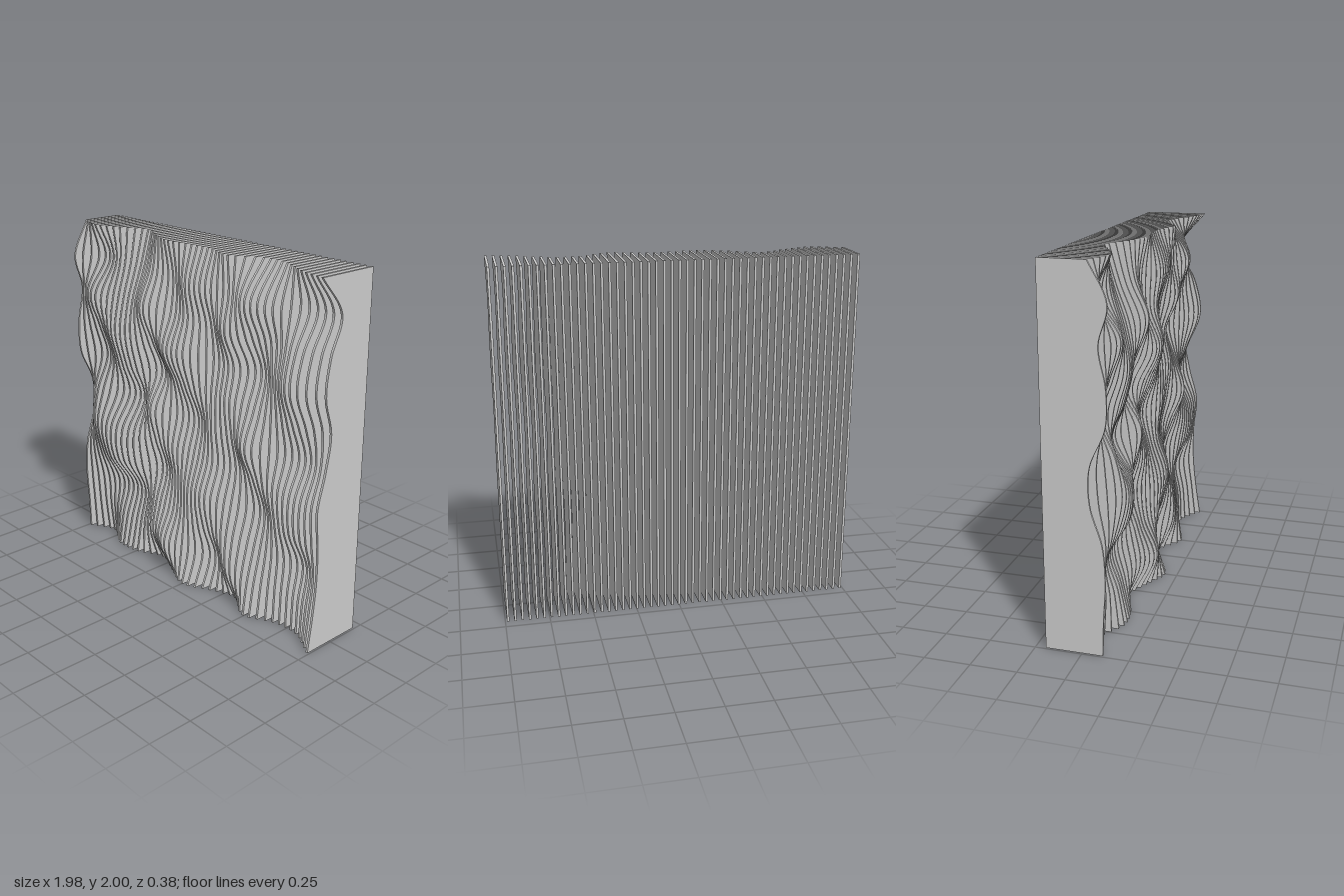
import * as THREE from 'three';

const FINS = 49, THICK = 0.013, HALF = 0.984, BACK = -0.195, STEPS = 80;

// Front depth of the wavy relief in hundredths: one row per position
// from x = -HALF to x = HALF, each read from y = 0 up to y = 2.
const RELIEF = [
  [11, 11.5, 12.5, 11, 5, 5, 13, 13.5, 10, 14.5, 5],
  [4, 6, 7, 13, 16.5, 13, 5, 10.5, 16, 4, 11],
  [12.5, 9, 4, 15, 16.5, 6, 9.5, 14.5, 12, 6, 5.5],
  [11.5, 8, 4, 11.5, 12, 3, 9, 13, 11, 4, -2],
  [4.5, 12, 9, 3.5, 9, 12.5, 3, 10, 16.5, 9, 6],
  [11, 17.5, 10, 8, 10, 6, 8.5, 16.5, 10, 8, 11.5],
  [18, 13, 13, 13, 8, 4, 11, 16, 12, 14, 9],
  [11, 6, 12, 15, 9, 10, 10, 8, 10, 14.5, 9],
  [6, 14, 14, 10, 6.5, 10, 12, 9, 16, 13, 14],
  [16, 13, 8, 3.5, 9.5, 16.5, 10, 4.5, 12, 18, 4.5],
  [9, 8, 6.5, 9.5, 12, 8.5, 10, 12, 11, 14.5, 5],
  [8, 7, 4, 12, 12.5, 5, 11, 18.5, 15, 6, 13],
  [17, 14, 12, 12, 13.5, 8.5, 5.5, 10.5, 8, 1.5, 16.5],
];

// Smooth curve through evenly spaced values, t from 0 to 1
function spline(values, t) {
  const last = values.length - 1;
  const i = Math.min(Math.floor(t * last), last - 1);
  const f = t * last - i;
  const b = values[i], c = values[i + 1];
  const a = i > 0 ? values[i - 1] : 2 * b - c;
  const d = i + 2 <= last ? values[i + 2] : 2 * c - b;
  return b + 0.5 * f * (c - a + f * (2 * a - 5 * b + 4 * c - d + f * (3 * (b - c) + d - a)));
}

function reliefDepth(u, v) {
  return spline(RELIEF.map((column) => spline(column, v)), u) / 100;
}

// Upright slat: straight back, wavy front edge
function finGeometry(u) {
  const shape = new THREE.Shape();
  shape.moveTo(BACK, 0);
  for (let k = 0; k <= STEPS; k++) shape.lineTo(reliefDepth(u, k / STEPS), (2 * k) / STEPS);
  shape.lineTo(BACK, 2);
  shape.closePath();
  const geometry = new THREE.ExtrudeGeometry(shape, { depth: THICK, bevelEnabled: false });
  geometry.translate(0, 0, -THICK / 2);
  geometry.rotateY(-Math.PI / 2);
  return geometry;
}

export function createModel() {
  const group = new THREE.Group();
  group.name = 'wavyFinPanel';
  const material = new THREE.MeshStandardMaterial({ color: 0xcccccc });
  for (let i = 0; i < FINS; i++) {
    const u = i / (FINS - 1);
    const fin = new THREE.Mesh(finGeometry(u), material);
    fin.name = `fin${i + 1}`;
    fin.position.x = (2 * u - 1) * HALF;
    group.add(fin);
  }
  return group;
}
